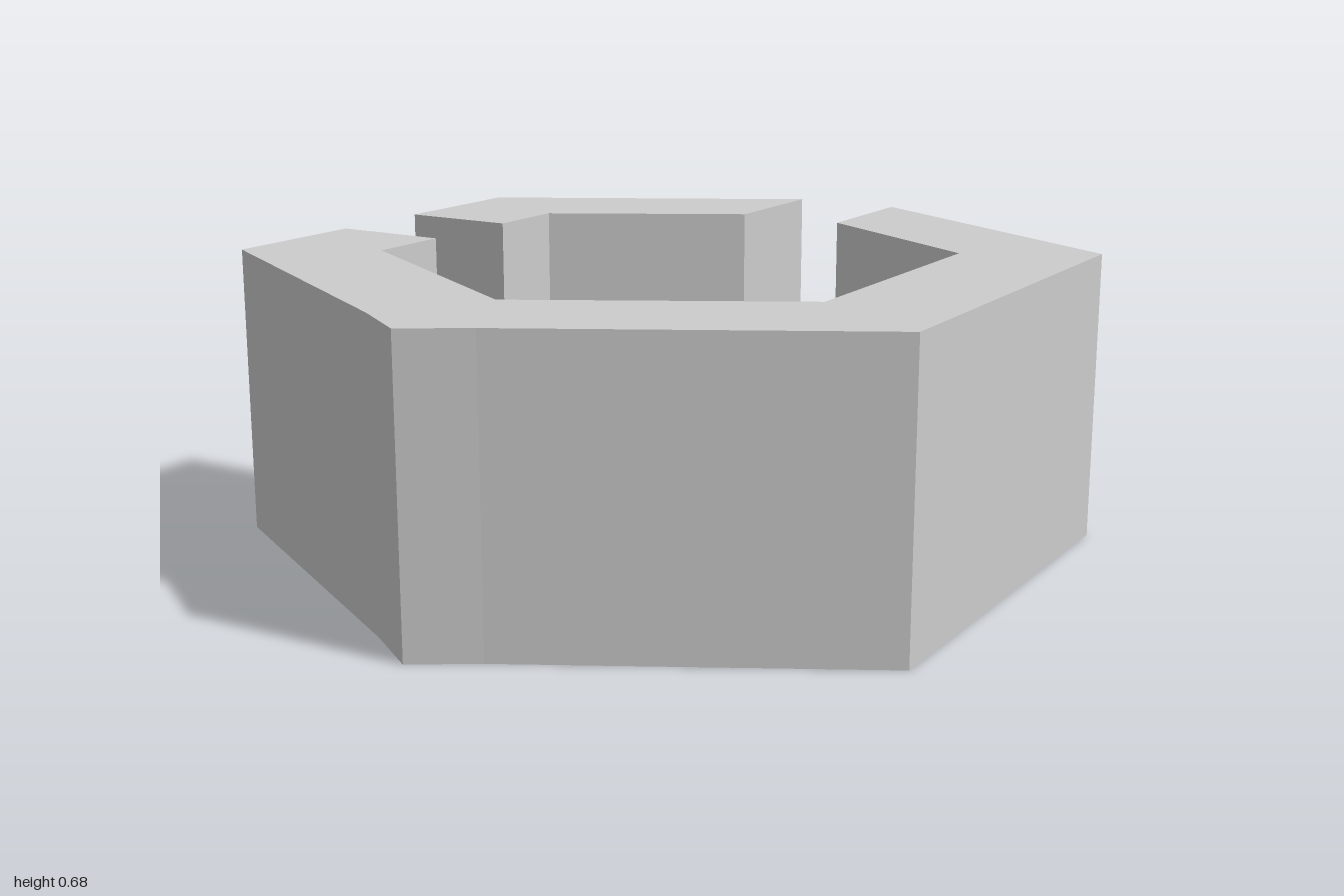
import * as THREE from 'three';

const FLOOR = 0.256; // bottom of the slot
const TRAY = 0.443; // bottom of the hexagonal recess
const TOP = 0.68;
const S = 0.135; // half width of the slot
const Z = 0.912; // outline depth at the slot's edge
const X = 0.865; // half width of the hexagon

const material = new THREE.MeshStandardMaterial({ color: 0xcccccc, flatShading: true });

// Upright prism from [x, z] plan points, between two heights
function prism(name, points, y0, y1) {
  const shape = new THREE.Shape(points.map(([x, z]) => new THREE.Vector2(x, -z)));
  const geometry = new THREE.ExtrudeGeometry(shape, { depth: y1 - y0, bevelEnabled: false });
  geometry.rotateX(-Math.PI / 2).translate(0, y0, 0);
  const mesh = new THREE.Mesh(geometry, material);
  mesh.name = name;
  return mesh;
}

export function createModel() {
  const group = new THREE.Group();
  group.name = 'slottedHexagonBlock';

  // Outer edges on either side of the L-shaped slot
  const mainEdge = [
    [S, -Z], [X, -0.5], [X, 0.5], [S, Z], [0, 1], [-S, Z], [-X, 0.5], [-X, S],
  ];
  const cornerEdge = [[-S, -Z], [-X, -0.5], [-X, -S]];

  group.add(
    // Full hexagonal base, its top is the slot floor
    prism('base', [...mainEdge, ...cornerEdge.slice().reverse(), [0, -1]], 0, FLOOR),

    // Tray floor, cut in two by the slot
    prism('mainTray', [...mainEdge, [S, S]], FLOOR, TRAY),
    prism('cornerTray', [...cornerEdge, [-S, -S]], FLOOR, TRAY),

    // Raised rim around the recess
    prism('mainRim', [
      ...mainEdge, [-0.58, S], [-0.58, 0.337], [0, 0.67], [0.58, 0.337], [0.58, -0.337], [S, -0.592],
    ], TRAY, TOP),
    prism('cornerRim', [
      ...cornerEdge, [-0.58, -S], [-0.58, -0.337], [-S, -0.592],
    ], TRAY, TOP),
  );
  return group;
}
